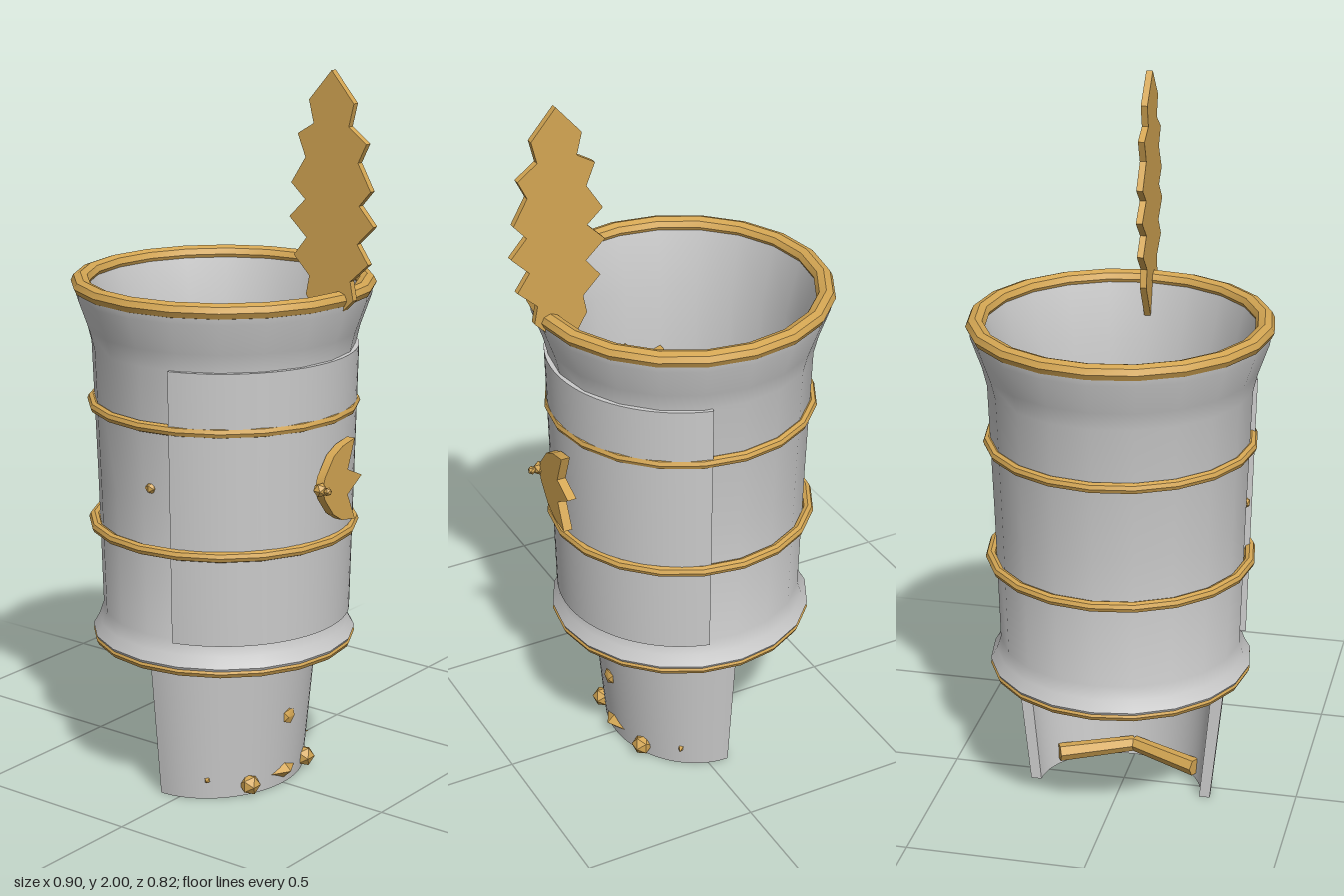
import * as THREE from 'three';
import { toCreasedNormals } from 'three/addons/utils/BufferGeometryUtils.js';

const grey = new THREE.MeshStandardMaterial({ color: 0xcccccc });
const gold = new THREE.MeshStandardMaterial({ color: 0xd4a653 });
const AXIS_X = -0.04; // centre line of the cuff
const SIDES = 20;

function add(parent, name, geometry, material, x = 0, y = 0, z = 0) {
  const mesh = new THREE.Mesh(toCreasedNormals(geometry, 0.6), material);
  mesh.name = name;
  mesh.position.set(x, y, z);
  parent.add(mesh);
  return mesh;
}

const points = (list) => list.map(([x, y]) => new THREE.Vector2(x, y));

// Curved plate around the y axis, facing +x; the bottom is shrunk to bottomScale
function arcPlate(inner, outer, halfAngle, height, bottomScale) {
  const shape = new THREE.Shape();
  shape.absarc(0, 0, outer, -halfAngle, halfAngle, false);
  shape.absarc(0, 0, inner, halfAngle, -halfAngle, true);
  const geometry = new THREE.ExtrudeGeometry(shape, { depth: height, bevelEnabled: false, curveSegments: 18 });
  geometry.rotateX(-Math.PI / 2);
  const p = geometry.attributes.position;
  for (let i = 0; i < p.count; i++) {
    const s = THREE.MathUtils.lerp(bottomScale, 1, p.getY(i) / height);
    p.setX(i, p.getX(i) * s);
    p.setZ(i, p.getZ(i) * s);
  }
  return geometry;
}

function ring(parent, name, radius, tube, y, squash = 1) {
  const geometry = new THREE.TorusGeometry(radius, tube, 8, SIDES);
  geometry.rotateX(Math.PI / 2);
  geometry.scale(1, squash, 1);
  add(parent, name, geometry, gold, AXIS_X, y);
}

// Flat plate cut from an outline, centred on its thickness
function plate(outline, depth) {
  const geometry = new THREE.ExtrudeGeometry(new THREE.Shape(points(outline)), { depth, bevelEnabled: false });
  return geometry.translate(0, 0, -depth / 2);
}

// Three-pointed leaf with a gem, lying in its own xy plane
function emblem() {
  const group = new THREE.Group();
  group.name = 'emblem';
  add(group, 'emblemLeaf', plate([
    [-0.08, 0], [-0.07, -0.03], [-0.03, -0.08], [0.01, -0.105], [0.07, -0.115], [0.035, -0.04],
    [0.1, 0], [0.035, 0.03], [0.065, 0.11], [0.01, 0.1], [-0.03, 0.08], [-0.07, 0.03],
  ], 0.025), gold);
  add(group, 'emblemGem', new THREE.IcosahedronGeometry(0.02, 0), gold, -0.085, 0, 0.008);
  add(group, 'emblemStud', new THREE.IcosahedronGeometry(0.012, 0), gold, -0.085, 0, 0.032);
  return group;
}

export function createModel() {
  const model = new THREE.Group();
  model.name = 'bracer';

  // Hollow flared cuff
  const wall = points([
    [0.325, 0.405], [0.352, 0.405], [0.364, 0.43], [0.347, 0.46], [0.335, 0.495], [0.345, 0.87], [0.358, 1.24],
    [0.37, 1.29], [0.4, 1.375], [0.403, 1.4], [0.365, 1.4], [0.325, 1.25], [0.29, 0.5], [0.325, 0.405],
  ]);
  add(model, 'cuff', new THREE.LatheGeometry(wall, SIDES), grey, AXIS_X);

  // Raised plate on the outer side of the cuff
  add(model, 'outerPlate', arcPlate(0.33, 0.367, 1.32, 0.75, 0.95), grey, AXIS_X, 0.49);

  // Gold bands
  ring(model, 'topRim', 0.386, 0.026, 1.408, 0.85);
  ring(model, 'upperBand', 0.357, 0.015, 1.08);
  ring(model, 'lowerBand', 0.357, 0.015, 0.742);
  ring(model, 'bottomRim', 0.344, 0.02, 0.416, 0.8);

  // Half-round guard below the cuff
  const guard = arcPlate(0.27, 0.305, Math.PI / 2, 0.43, 0.855);
  guard.scale(0.865, 1, 1);
  add(model, 'handGuard', guard, grey, -0.058, 0.005);

  // Feather standing on the rim
  add(model, 'feather', plate([
    [0.3, 1.31], [0.34, 1.36], [0.39, 1.41], [0.38, 1.46], [0.435, 1.51], [0.4, 1.56], [0.45, 1.61],
    [0.405, 1.66], [0.44, 1.7], [0.4, 1.77], [0.425, 1.82], [0.37, 1.86], [0.385, 1.92], [0.315, 2],
    [0.245, 1.92], [0.26, 1.86], [0.21, 1.83], [0.235, 1.77], [0.19, 1.7], [0.235, 1.66], [0.185, 1.61],
    [0.24, 1.56], [0.2, 1.51], [0.25, 1.46], [0.24, 1.41], [0.27, 1.36],
  ], 0.018), gold);

  // Emblems on the outer side and the front
  const sideEmblem = emblem();
  sideEmblem.position.set(0.338, 0.91, 0);
  sideEmblem.rotation.y = Math.PI / 2;
  model.add(sideEmblem);
  const frontEmblem = emblem();
  frontEmblem.position.set(-0.025, 0.995, 0.29);
  frontEmblem.rotation.z = Math.PI / 2;
  model.add(frontEmblem);
  add(model, 'frontStud', new THREE.IcosahedronGeometry(0.018, 0), gold, -0.02, 0.91, 0.337);

  // Centre studs on the guard
  const centreStud = new THREE.OctahedronGeometry(0.055);
  centreStud.scale(0.55, 0.5, 1);
  add(model, 'centreStud', centreStud, gold, 0.165, 0.045);
  const upperStud = new THREE.IcosahedronGeometry(0.025, 0);
  upperStud.scale(0.5, 1, 1);
  add(model, 'upperStud', upperStud, gold, 0.186, 0.21);

  for (const side of [-1, 1]) {
    // Angled bars inside the guard
    const length = Math.hypot(0.1, 0.2);
    const bar = add(model, 'innerBar', new THREE.CylinderGeometry(0.026, 0.022, length, 6), gold, 0.085, 0.045, side * 0.1);
    bar.quaternion.setFromUnitVectors(new THREE.Vector3(0, 1, 0), new THREE.Vector3(-0.1, 0, side * 0.2).normalize());
    // Studs and spikes along the lower edge
    add(model, 'lowerStud', new THREE.IcosahedronGeometry(0.03, 0), gold, 0.148, 0.038, side * 0.127);
    const spike = add(model, 'spike', new THREE.ConeGeometry(0.016, 0.035, 4), gold, 0.073, 0.062, side * 0.222);
    spike.quaternion.setFromUnitVectors(new THREE.Vector3(0, 1, 0), new THREE.Vector3(0.6, 0, side * 0.8));
  }
  return model;
}
